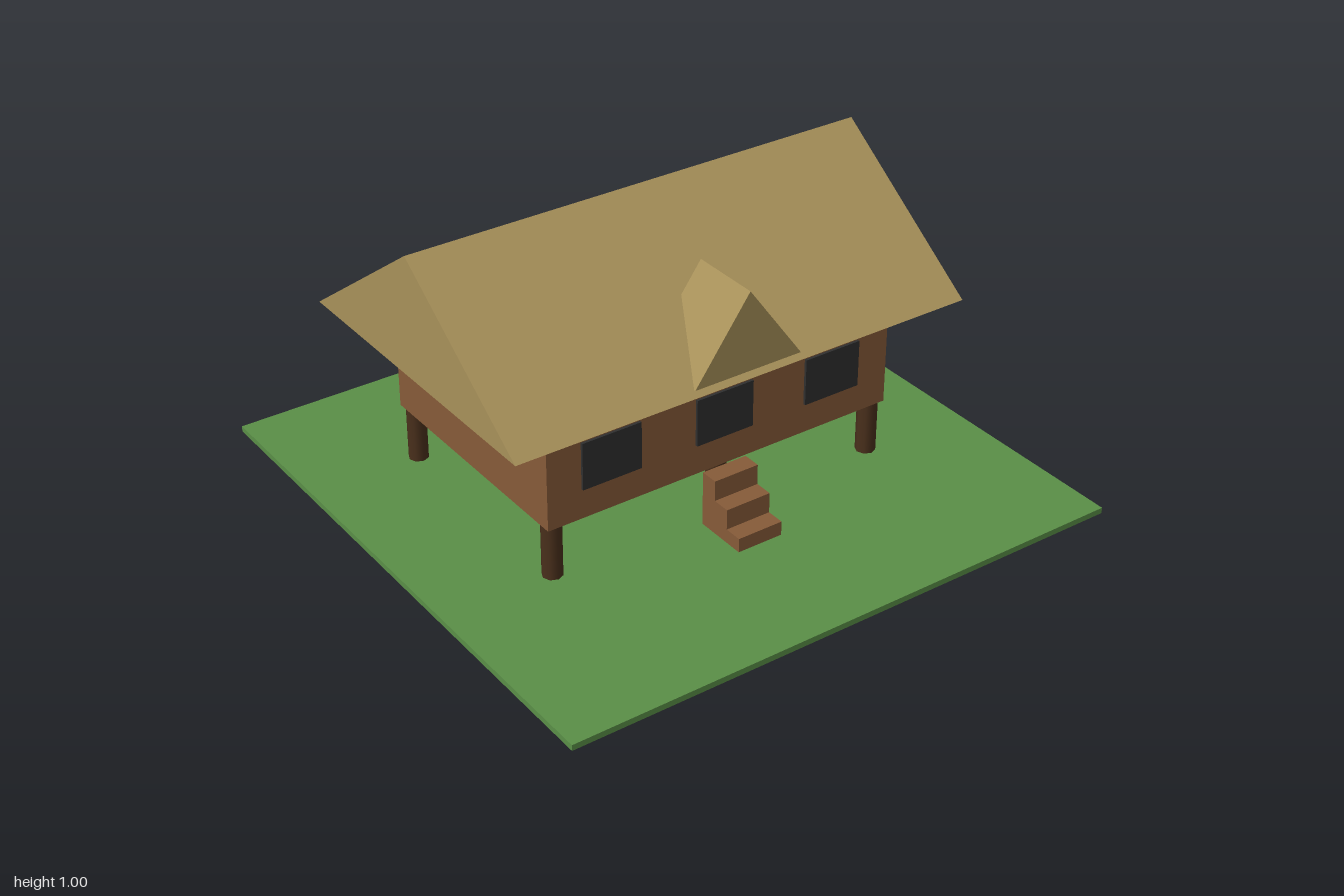
import * as THREE from 'three';

const mat = (name, color) => {
  const m = new THREE.MeshStandardMaterial({ color });
  m.name = name;
  return m;
};

export function createModel() {
  const hut = new THREE.Group();
  hut.name = 'stiltHut';

  const grass = mat('grass green', 0x5a8f47);
  const wood = mat('wall brown', 0x875b39);
  const thatch = mat('thatch straw', 0xa8915a);
  const darkWood = mat('post dark brown', 0x4a301c);
  const glass = mat('window charcoal', 0x2f2f2f);

  const add = (name, geometry, material, x, y, z) => {
    const mesh = new THREE.Mesh(geometry, material);
    mesh.name = name;
    mesh.position.set(x, y, z);
    hut.add(mesh);
    return mesh;
  };

  // Box given by its lower and upper limits on each axis
  const box = (name, material, [x0, x1], [y0, y1], [z0, z1]) =>
    add(name, new THREE.BoxGeometry(x1 - x0, y1 - y0, z1 - z0), material,
      (x0 + x1) / 2, (y0 + y1) / 2, (z0 + z1) / 2);

  // Solid triangular prism, centred along its ridge, which runs along z
  const prism = (halfWidth, height, length) => {
    const s = new THREE.Shape();
    s.moveTo(-halfWidth, 0);
    s.lineTo(halfWidth, 0);
    s.lineTo(0, height);
    s.closePath();
    return new THREE.ExtrudeGeometry(s, { depth: length, bevelEnabled: false })
      .translate(0, 0, -length / 2);
  };

  // Lawn and raised house body
  box('lawn', grass, [-1, 1], [0.002, 0.022], [-1, 1]);
  box('houseBody', wood, [-0.645, 0.645], [0.212, 0.587], [-0.54, 0.338]);

  // Main roof with its ridge along x, and the dormer facing front
  add('mainRoof', prism(0.58, 0.415, 1.664).rotateY(Math.PI / 2), thatch, 0, 0.587, -0.105);
  add('dormerRoof', prism(0.197, 0.272, 0.247), thatch, 0, 0.603, 0.335);

  // Stilts in two rows of three
  for (const x of [-0.61, 0, 0.61]) {
    for (const z of [-0.502, 0.3]) {
      add('stilt', new THREE.CylinderGeometry(0.034, 0.034, 0.214, 8), darkWood, x, 0.107, z);
    }
  }

  // Front windows
  for (const x of [-0.418, 0, 0.418]) {
    box('window', glass, [x - 0.106, x + 0.106], [0.317, 0.48], [0.338, 0.347]);
  }

  // Entrance steps, rising towards the house
  for (let i = 0; i < 3; i++) {
    const front = 0.534 - i * 0.063;
    box('step', wood, [-0.082, 0.082], [0, 0.071 * (i + 1)], [front - 0.063, front]);
  }

  return hut;
}
